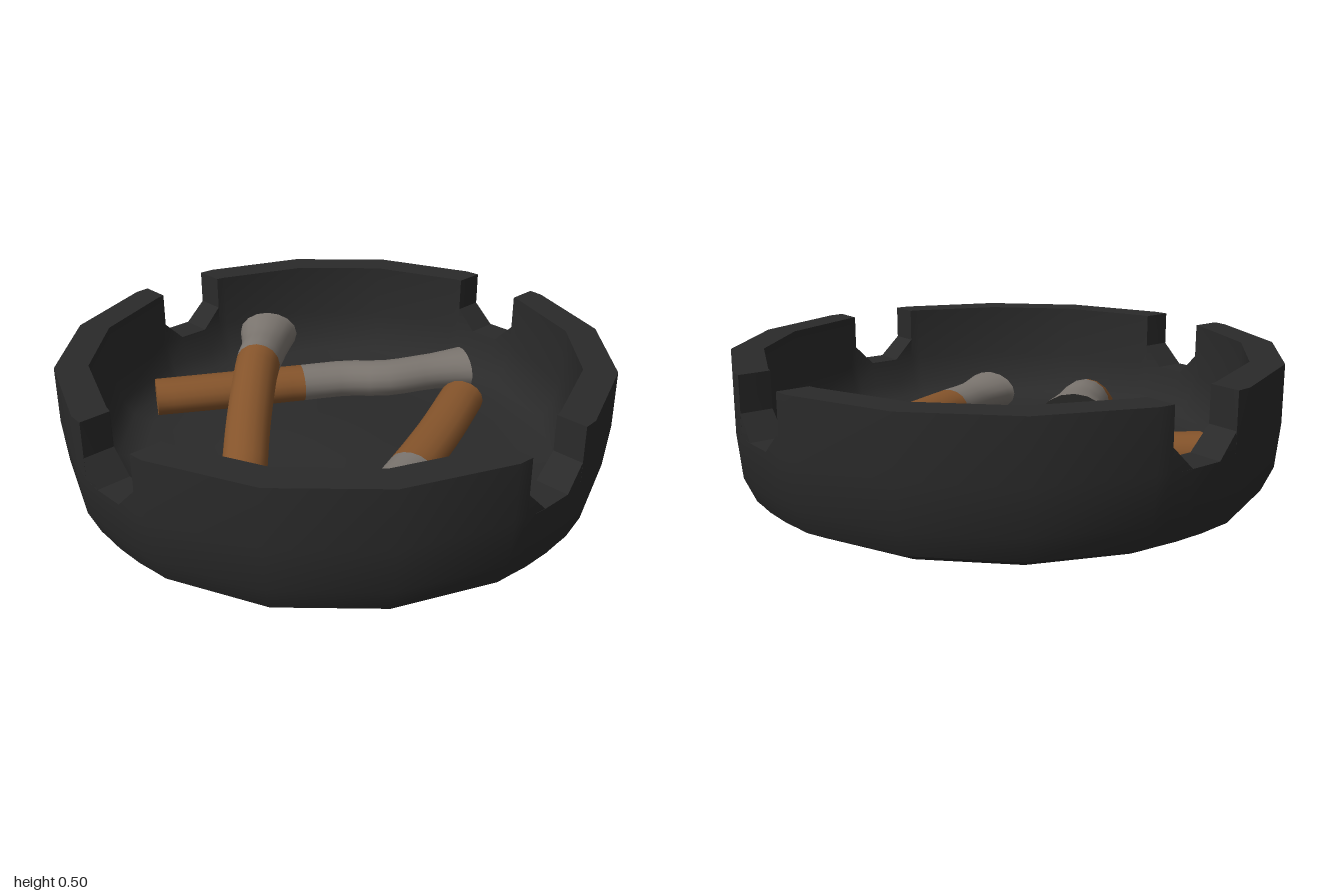
import * as THREE from 'three';
import { toCreasedNormals } from 'three/addons/utils/BufferGeometryUtils.js';

const material = (name, color) => {
  const m = new THREE.MeshStandardMaterial({ color });
  m.name = name;
  return m;
};

// Skin a list of closed rings (each an array of Vector3), dropping collapsed faces
function skin(rings, crease) {
  const pos = [];
  const tri = new THREE.Triangle();
  const add = (a, b, c) => {
    tri.set(a, b, c);
    if (tri.getArea() > 1e-7) pos.push(...a.toArray(), ...b.toArray(), ...c.toArray());
  };
  for (let j = 0; j < rings.length - 1; j++) {
    const lo = rings[j], hi = rings[j + 1], n = lo.length;
    for (let i = 0; i < n; i++) {
      const k = (i + 1) % n;
      add(lo[i], lo[k], hi[k]);
      add(lo[i], hi[k], hi[i]);
    }
  }
  const g = new THREE.BufferGeometry();
  g.setAttribute('position', new THREE.Float32BufferAttribute(pos, 3));
  return toCreasedNormals(g, crease);
}

// Sixteen-sided bowl with a notch cut in the rim on each of four sides
function bowlGeometry() {
  const columns = [];
  const notch = [[-0.14, 0.5], [-0.14, 0.37], [-0.06, 0.29], [0.06, 0.29], [0.14, 0.37], [0.14, 0.5]];
  for (let q = 0; q < 4; q++) {
    const turn = (x, z) => new THREE.Vector3(x, 0, z).applyAxisAngle(THREE.Object3D.DEFAULT_UP, q * Math.PI / 2);
    for (const [x, top] of notch)
      columns.push({ out: turn(x, Math.sqrt(1 - x * x)), inn: turn(x, 0.876), top });
    for (let k = 0; k < 4; k++) {
      const a = (k + 0.5) * Math.PI / 8, s = Math.sin(a), c = Math.cos(a);
      columns.push({ out: turn(s * 1.005, c * 1.005), inn: turn(s * 0.885, c * 0.885), top: 0.5 });
    }
  }
  // Profile: side, scale, height (null height means the rim)
  const profile = [
    ['out', 0, 0], ['out', 0.87, 0], ['out', 0.945, 0.04], ['out', 0.985, 0.13], ['out', 1, 0.29], ['out', 0.999, null],
    ['inn', 1, null], ['inn', 1, 0.29], ['inn', 0.97, 0.19], ['inn', 0.92, 0.135], ['inn', 0.83, 0.107],
    ['inn', 0.5, 0.125], ['inn', 0.22, 0.145], ['inn', 0, 0.165],
  ];
  const rings = profile.map(([side, s, y]) =>
    columns.map(c => new THREE.Vector3(c[side].x * s, y ?? c.top, c[side].z * s)));
  return skin(rings, 0.62);
}

// Stub path: points are [x, y, z, half width, half height]; the filter ends at index `split`
function makeStub(name, points, split, mats) {
  const path = new THREE.CatmullRomCurve3(points.map(p => new THREE.Vector3(p[0], p[1], p[2])));
  const sizes = new THREE.CatmullRomCurve3(points.map(p => new THREE.Vector3(p[3], p[4], 0)));
  const ring = (t, scale = 1) => {
    const centre = path.getPoint(t), dir = path.getTangent(t);
    const size = sizes.getPoint(t).multiplyScalar(scale);
    const side = new THREE.Vector3(0, 1, 0).cross(dir).normalize();
    const up = dir.clone().cross(side);
    return Array.from({ length: 16 }, (_, i) => {
      const a = i * Math.PI / 8;
      return centre.clone().addScaledVector(side, size.x * Math.cos(a)).addScaledVector(up, size.y * Math.sin(a));
    });
  };
  const span = (a, b) => Array.from({ length: 11 }, (_, i) => ring(a + (b - a) * i / 10));
  const cut = split / (points.length - 1);
  const group = new THREE.Group();
  group.name = name;
  const part = (label, rings, mat) => {
    const mesh = new THREE.Mesh(skin(rings, 0.8), mat);
    mesh.name = label;
    group.add(mesh);
  };
  part('filter', [ring(0, 0), ...span(0, cut)], mats.filter);
  part('paper', span(cut, 1), mats.paper);
  part('burntEnd', [ring(1), ring(1, 0)], mats.ash);
  return group;
}

export function createModel() {
  const model = new THREE.Group();
  model.name = 'ashtray';
  const tray = material('charcoal', 0x2a2a2a);
  const mats = {
    filter: material('filterOrange', 0x85542b),
    paper: material('paperGrey', 0x7b756f),
    ash: material('ashBlack', 0x282726),
  };

  const bowl = new THREE.Mesh(bowlGeometry(), tray);
  bowl.name = 'bowl';
  model.add(bowl);

  // Stub lying flat under the leaning one
  model.add(makeStub('backStub', [
    [-0.355, 0.185, -0.66, 0.086, 0.07], [-0.1, 0.185, -0.505, 0.085, 0.072], [0.15, 0.185, -0.355, 0.083, 0.072],
    [0.31, 0.185, -0.26, 0.084, 0.072], [0.43, 0.185, -0.15, 0.085, 0.072],
    [0.59, 0.185, -0.075, 0.084, 0.072], [0.742, 0.185, 0, 0.107, 0.082],
  ], 2, mats));

  // Stub leaning across the back one
  model.add(makeStub('leaningStub', [
    [-0.5, 0.185, 0.06, 0.08, 0.065], [-0.285, 0.26, -0.165, 0.083, 0.078], [-0.07, 0.338, -0.365, 0.086, 0.09],
    [0.03, 0.345, -0.445, 0.09, 0.088], [0.14, 0.353, -0.545, 0.116, 0.09],
  ], 2, mats));

  // Stub near the front
  model.add(makeStub('frontStub', [
    [0.525, 0.18, 0.18, 0.086, 0.072], [0.24, 0.18, 0.31, 0.085, 0.065], [-0.035, 0.182, 0.42, 0.084, 0.062],
    [-0.165, 0.18, 0.465, 0.082, 0.065], [-0.322, 0.18, 0.525, 0.118, 0.08],
  ], 2, mats));

  return model;
}
